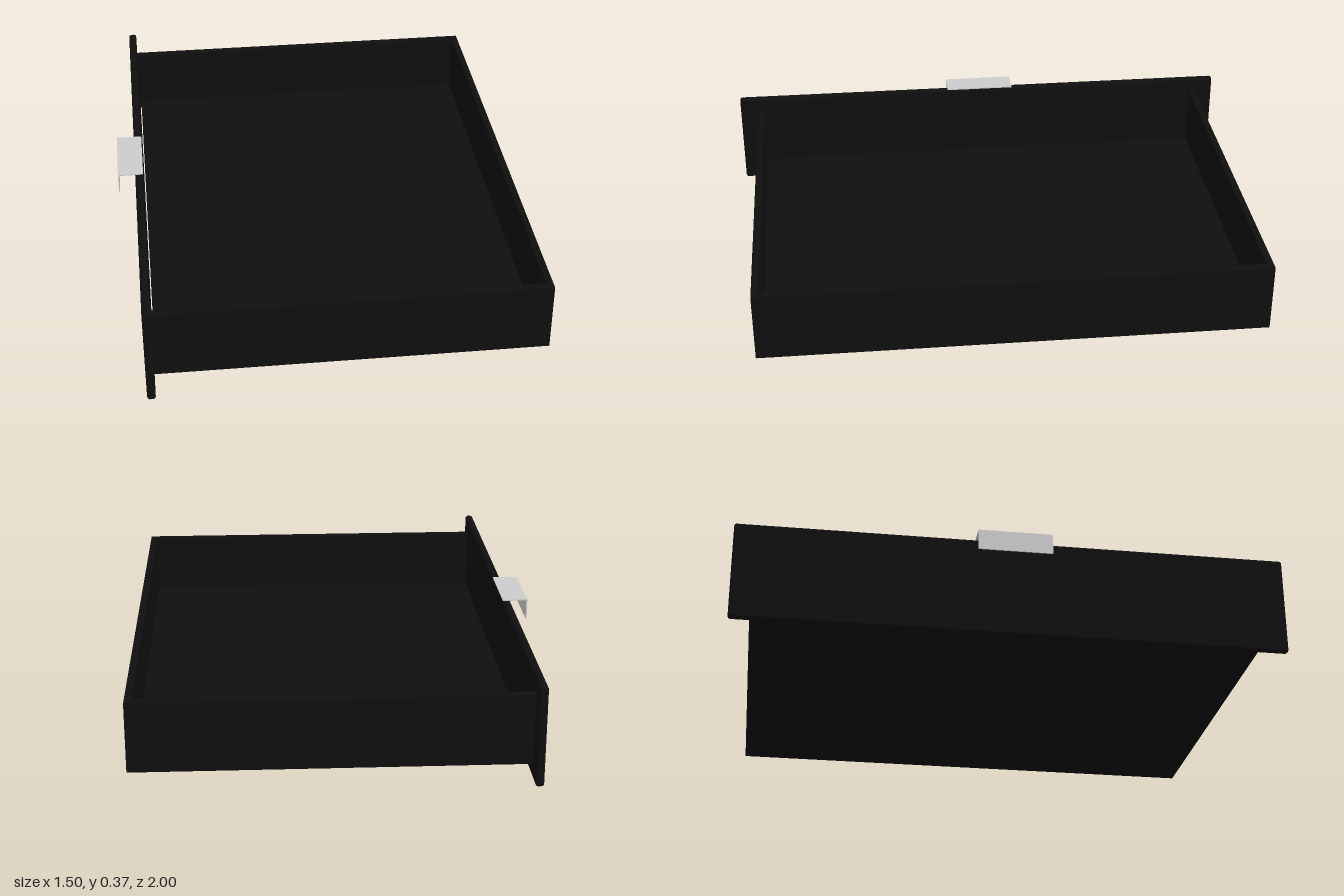
import * as THREE from 'three';
import { RoundedBoxGeometry } from 'three/addons/geometries/RoundedBoxGeometry.js';

export function createModel() {
  const group = new THREE.Group();
  const black = new THREE.MeshStandardMaterial({ color: 0x0f0f0f });
  const grey = new THREE.MeshStandardMaterial({ color: 0xcccccc, side: THREE.DoubleSide });

  const add = (name, geometry, material) => {
    const mesh = new THREE.Mesh(geometry, material);
    mesh.name = name;
    group.add(mesh);
    return mesh;
  };

  // Rounded board given by its minimum and maximum corners
  const board = (name, [x0, y0, z0], [x1, y1, z1], radius) =>
    add(name, new RoundedBoxGeometry(x1 - x0, y1 - y0, z1 - z0, 3, radius), black)
      .position.set((x0 + x1) / 2, (y0 + y1) / 2, (z0 + z1) / 2);

  const back = 0.745, face = -0.655, bottom = 0.053, top = 0.317, half = 0.928, wall = 0.027;

  // Drawer face, wider and taller than the tray
  board('facePanel', [-0.685, 0, -1], [face, 0.37, 1], 0.01);

  // Three tray walls as one U-shaped extrusion with softened edges
  const b = 0.005;
  const u = new THREE.Shape([
    [face - 0.01, -half + b], [back - b, -half + b], [back - b, half - b], [face - 0.01, half - b],
    [face - 0.01, half - wall + b], [back - wall + b, half - wall + b],
    [back - wall + b, -half + wall - b], [face - 0.01, -half + wall - b],
  ].map(([x, y]) => new THREE.Vector2(x, y)));
  const walls = new THREE.ExtrudeGeometry(u, {
    depth: top - bottom - 2 * b, bevelThickness: b, bevelSize: b, bevelSegments: 3,
  });
  walls.rotateX(-Math.PI / 2).translate(0, bottom + b, 0);
  add('trayWalls', walls, black);

  // Tray floor, flush with the underside of the walls
  add('trayFloor', new THREE.BoxGeometry(back - face - wall, 0.033, 2 * (half - wall) + 0.02), black)
    .position.set((back - wall + face) / 2 + 0.005, bottom + 0.0165, 0);

  // Thin angled pull plate hooked over the face panel
  const t = 0.004, x0 = -0.75, x1 = -0.655, y0 = 0.297, y1 = 0.374;
  const angle = new THREE.Shape([
    [x0, y0], [x0 + t, y0], [x0 + t, y1 - t], [x1, y1 - t], [x1, y1], [x0, y1],
  ].map(([x, y]) => new THREE.Vector2(x, y)));
  const pull = new THREE.ExtrudeGeometry(angle, { depth: 0.27, bevelEnabled: false });
  pull.translate(0, 0, -0.138);
  add('pullHandle', pull, grey);

  return group;
}
